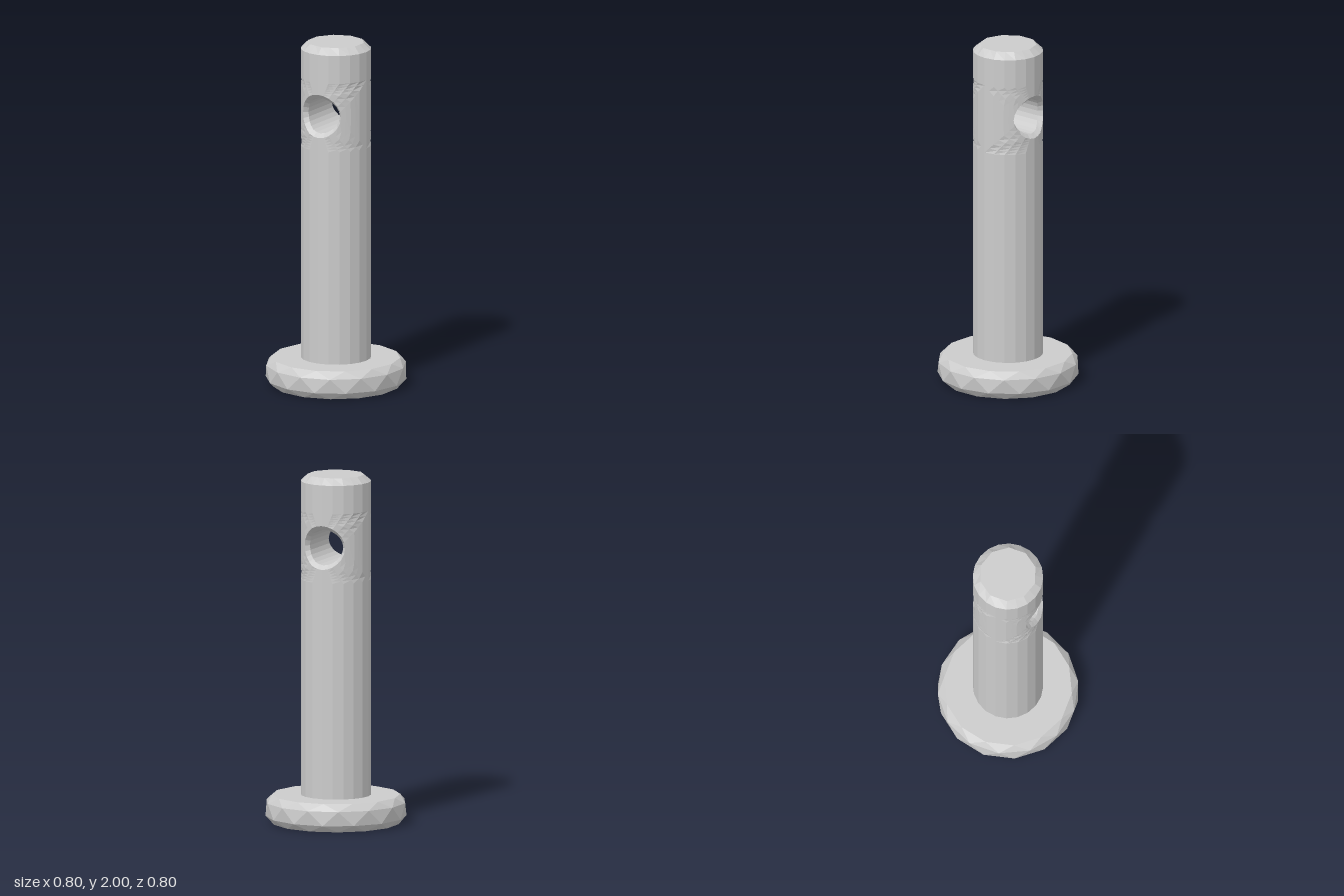
import * as THREE from 'three';

const R = 0.2, SIDES = 20, STEP = (2 * Math.PI) / SIDES; // shaft
const HOLE_Y = 1.604, HOLE_R = 0.103, SINK_R = 0.126;    // cross hole
const BAND = [1.4, 1.8];                                 // shaft zone holding the hole

const material = new THREE.MeshStandardMaterial({ color: 0xcccccc, flatShading: true });

function faceted(geometry, name) {
  const g = geometry.index ? geometry.toNonIndexed() : geometry;
  g.computeVertexNormals();
  const mesh = new THREE.Mesh(g, material);
  mesh.name = name;
  return mesh;
}

function fromTriangles(tris) {
  return new THREE.BufferGeometry().setFromPoints(tris.flat());
}

function lathe(points) {
  return new THREE.LatheGeometry(points.map(p => new THREE.Vector2(...p)), SIDES);
}

// Disc made of rings, each turned half a step from the one below
function headGeometry(rings, n) {
  const at = (j, k) => {
    const a = ((k + j / 2) / n) * 2 * Math.PI;
    return new THREE.Vector3(rings[j][0] * Math.sin(a), rings[j][1], rings[j][0] * Math.cos(a));
  };
  const last = rings.length - 1;
  const bottom = new THREE.Vector3(0, rings[0][1], 0);
  const top = new THREE.Vector3(0, rings[last][1], 0);
  const tris = [];
  for (let k = 0; k < n; k++) {
    for (let j = 0; j < last; j++) {
      tris.push([at(j, k), at(j, k + 1), at(j + 1, k)]);
      tris.push([at(j, k + 1), at(j + 1, k + 1), at(j + 1, k)]);
    }
    tris.push([bottom, at(0, k + 1), at(0, k)], [top, at(last, k), at(last, k + 1)]);
  }
  return fromTriangles(tris);
}

// Point on the faceted shaft wall
function wall(theta, y) {
  const within = ((theta % STEP) + STEP) % STEP;
  const r = (R * Math.cos(STEP / 2)) / Math.cos(within - STEP / 2);
  return new THREE.Vector3(r * Math.sin(theta), y, r * Math.cos(theta));
}

// Half of the drilled zone: wall around the hole, countersink, half the bore
function drilledHalf() {
  const half = SIDES / 2, q = Math.PI / 2;
  const edge = [[q, HOLE_Y]];
  for (let i = 0; i <= half; i++) edge.push([q - i * STEP, BAND[1]]);
  edge.push([-q, HOLE_Y]);
  for (let i = 0; i <= half; i++) edge.push([-q + i * STEP, BAND[0]]);

  const n = edge.length, rows = 6;
  const columns = edge.map(([theta, y], k) => {
    const a = (k / n) * 2 * Math.PI, c = Math.cos(a), s = Math.sin(a);
    const rimTheta = Math.asin((SINK_R * c) / R), rimY = HOLE_Y + SINK_R * s;
    const column = [];
    for (let i = 0; i <= rows; i++) {
      const t = i / rows;
      column.push(wall(THREE.MathUtils.lerp(theta, rimTheta, t), THREE.MathUtils.lerp(y, rimY, t)));
    }
    const x = HOLE_R * c, by = HOLE_Y + HOLE_R * s;
    column.push(new THREE.Vector3(x, by, column[rows].z - 0.024), new THREE.Vector3(x, by, 0));
    return column;
  });

  const tris = [];
  for (let k = 0; k < n; k++) {
    const A = columns[k], B = columns[(k + 1) % n];
    for (let i = 0; i < A.length - 1; i++) {
      tris.push([A[i], B[i], B[i + 1]], [A[i], B[i + 1], A[i + 1]]);
    }
  }
  return fromTriangles(tris);
}

export function createModel() {
  const pin = new THREE.Group();
  pin.name = 'clevisPin';

  // Flat head with chamfered edges
  pin.add(faceted(headGeometry([[0.362, 0], [0.4, 0.04], [0.4, 0.122], [0.365, 0.162]], 14), 'head'));

  // Plain shaft below the hole
  pin.add(faceted(lathe([[R, 0.16], [R, BAND[0]]]), 'lowerShaft'));

  // Drilled zone, front and back
  for (const [name, turn] of [['frontHole', 0], ['backHole', Math.PI]]) {
    const mesh = faceted(drilledHalf(), name);
    mesh.rotation.y = turn;
    pin.add(mesh);
  }

  // Tip: the chamfer runs into a flat with half as many sides
  const tip = lathe([[R, BAND[1]], [R, 1.963], [0.162, 2], [0, 2]]);
  const p = tip.attributes.position, k = Math.cos(STEP);
  for (let i = 0; i < p.count; i++) {
    if (i % 4 === 2 && Math.floor(i / 4) % 2) p.setXYZ(i, p.getX(i) * k, p.getY(i), p.getZ(i) * k);
  }
  pin.add(faceted(tip, 'shaftTip'));

  return pin;
}
